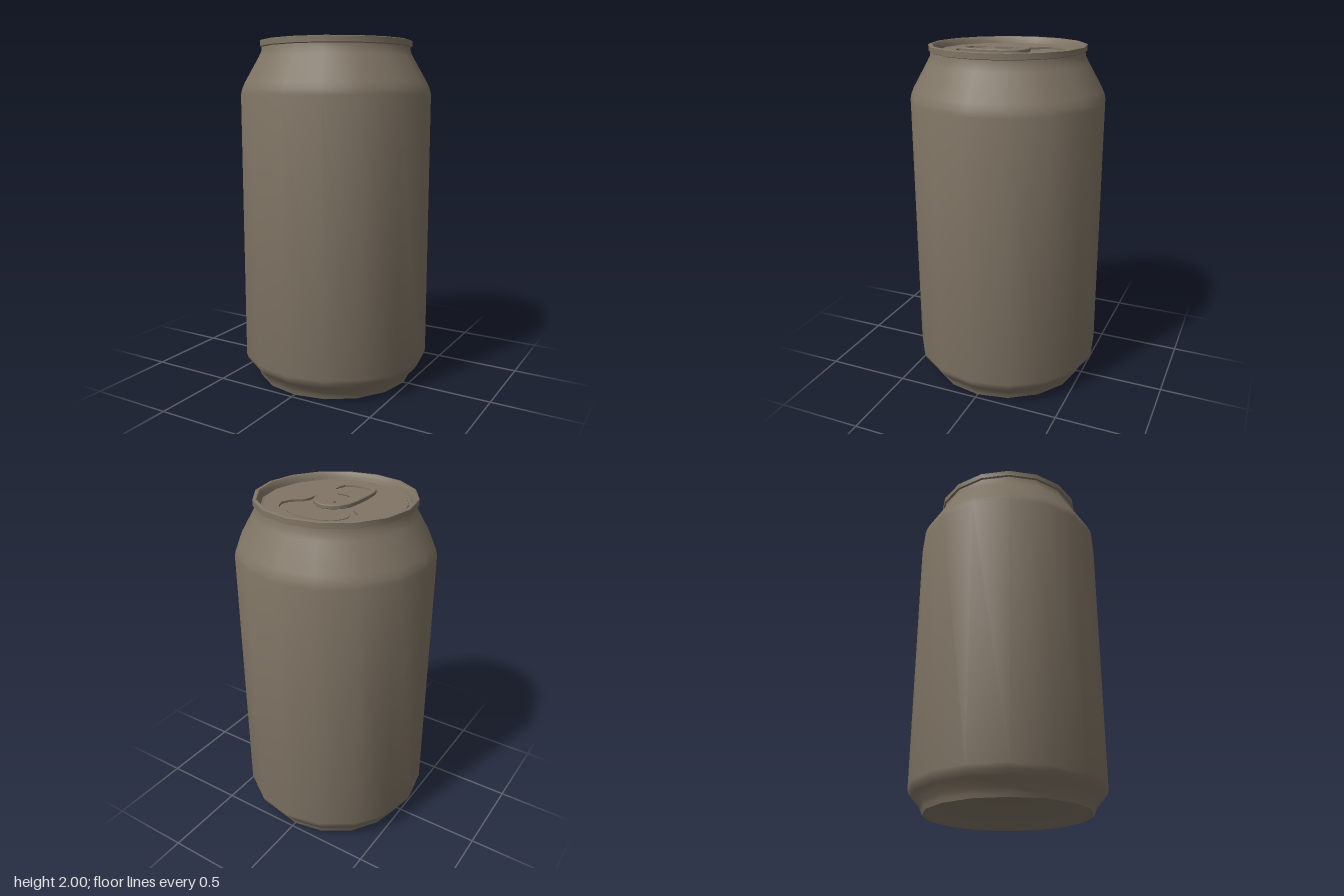
import * as THREE from 'three';
import { toCreasedNormals } from 'three/addons/utils/BufferGeometryUtils.js';

const SIDES = 16;
const LID_Y = 1.965; // top of the lid plate
const RECESS = 0.012; // depth of the pressed panel

// Right halves of the lid outlines, as [x, -z], from the back to the front
const PANEL = [[0, 0.325], [0.09, 0.312], [0.155, 0.283], [0.205, 0.235], [0.23, 0.175], [0.215, 0.125],
  [0.16, 0.08], [0.142, 0.045], [0.135, -0.1], [0.125, -0.225], [0.11, -0.265], [0.075, -0.287], [0, -0.292]];
const MOUTH = [[0, 0.292], [0.085, 0.28], [0.145, 0.25], [0.18, 0.205], [0.185, 0.165], [0.165, 0.115],
  [0.13, 0.085], [0.08, 0.07], [0, 0.065]];
const TAB = [[0, 0.13], [0.05, 0.117], [0.088, 0.085], [0.112, 0.04], [0.122, -0.02], [0.125, -0.13],
  [0.122, -0.205], [0.105, -0.25], [0.07, -0.271], [0, -0.275]];
const RIVET_HOLE = [[0, 0.08], [0.066, 0.077], [0.082, 0.06], [0.085, 0], [0.075, -0.042], [0.045, -0.068], [0, -0.075]];
const FINGER_HOLE = [[0, -0.115], [0.07, -0.118], [0.092, -0.133], [0.095, -0.185], [0.085, -0.225], [0.06, -0.242], [0, -0.245]];
const TONGUE = [[0, 0.085], [0.042, 0.085], [0.04, 0.035], [0.025, 0.018], [0, 0.012]];

// Full outline from its right half
function mirrored(half) {
  const left = half.slice(1, -1).reverse().map(([x, y]) => [-x, y]);
  return [...half, ...left].map(([x, y]) => new THREE.Vector2(x, y));
}

export function createModel() {
  const group = new THREE.Group();
  const material = new THREE.MeshStandardMaterial({ color: 0x807565 });

  function add(name, geometry, y = 0, crease = 0.6) {
    const mesh = new THREE.Mesh(toCreasedNormals(geometry, crease), material);
    mesh.name = name;
    mesh.position.y = y;
    group.add(mesh);
    return mesh;
  }

  // Flat plate lying in the xz plane, extruded upwards
  function plate(name, outline, holes, y, depth, bevel = 0) {
    const shape = new THREE.Shape(outline);
    shape.holes = holes.map((h) => new THREE.Path(h));
    const geometry = new THREE.ExtrudeGeometry(shape, {
      depth: depth - bevel, bevelEnabled: bevel > 0, bevelThickness: bevel,
      bevelSize: bevel, bevelOffset: -bevel, bevelSegments: 1,
    });
    geometry.rotateX(-Math.PI / 2);
    return add(name, geometry, y);
  }

  function lathe(name, profile) {
    const points = profile.map(([r, y]) => new THREE.Vector2(r, y));
    return add(name, new THREE.LatheGeometry(points, SIDES));
  }

  // Domed underside and standing ring
  lathe('base', [[0, 0.1], [0.15, 0.092], [0.3, 0.068], [0.4, 0.035], [0.44, 0.008], [0.452, 0], [0.47, 0]]);

  // Wall from the standing ring to the neck
  lathe('body', [[0.47, 0], [0.477, 0.02], [0.488, 0.045], [0.53, 0.092], [0.55, 0.12], [0.557, 0.145],
    [0.557, 1.695], [0.55, 1.725], [0.535, 1.76], [0.452, 1.905], [0.437, 1.935], [0.432, 1.965]]);

  // Rolled lip and the step down to the lid
  lathe('rim', [[0.432, 1.962], [0.444, 1.966], [0.444, 1.997], [0.438, 2], [0.424, 2], [0.416, 1.99],
    [0.41, 1.972], [0.405, 1.958], [0.395, 1.956], [0.39, LID_Y]]);

  // Lid with its pressed panel
  const edge = Array.from({ length: SIDES }, (_, i) => {
    const a = (i / SIDES) * Math.PI * 2;
    return new THREE.Vector2(0.39 * Math.cos(a), 0.39 * Math.sin(a));
  });
  plate('lid', edge, [mirrored(PANEL)], LID_Y - RECESS, RECESS);
  const floor = new THREE.ShapeGeometry(new THREE.Shape(mirrored(PANEL)));
  add('pressedPanel', floor.rotateX(-Math.PI / 2), LID_Y - RECESS);
  plate('mouthPanel', mirrored(MOUTH), [], LID_Y - RECESS, 0.004);

  // Pull tab, its tongue and the rivet
  plate('pullTab', mirrored(TAB), [mirrored(RIVET_HOLE), mirrored(FINGER_HOLE)], LID_Y - 0.005, 0.02, 0.004);
  plate('tabTongue', mirrored(TONGUE), [], LID_Y - RECESS, 0.014);
  const rivet = add('rivet', new THREE.CylinderGeometry(0.022, 0.026, 0.024, 12), LID_Y);
  rivet.position.z = -0.045;

  return group;
}
